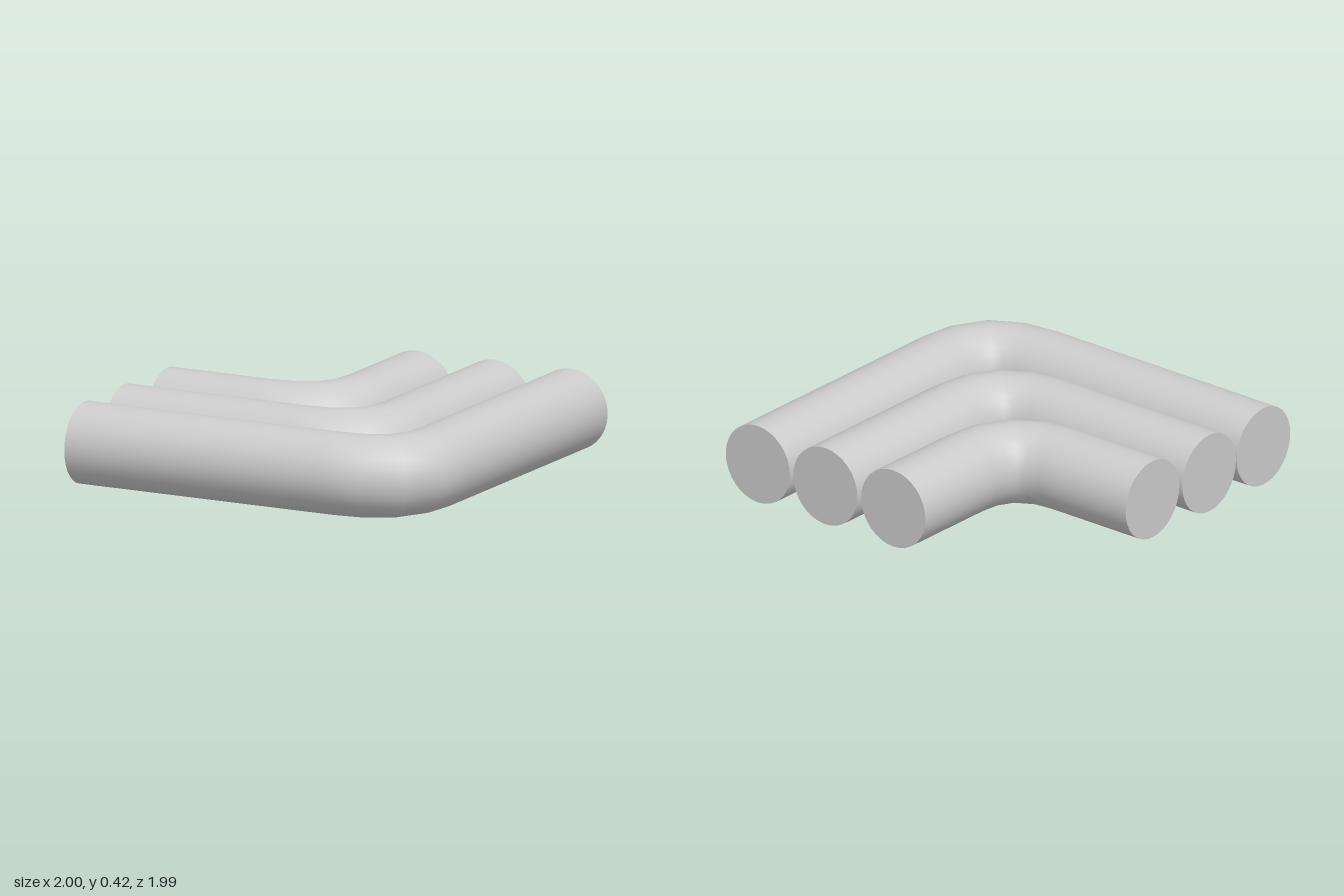
import * as THREE from 'three';

const R = 0.208;     // pipe radius
const BEND = 0.355;  // distance from the corner at which the bend starts

// Capped elbow pipe: one leg runs to xEnd (left), the other to zEnd (back),
// with the two axes meeting at (cx, cz).
function elbowPipe(cx, cz, xEnd, zEnd) {
  const bend = new THREE.QuadraticBezierCurve3(
    new THREE.Vector3(cx - BEND, R, cz),
    new THREE.Vector3(cx, R, cz),
    new THREE.Vector3(cx, R, cz - BEND)
  );

  // One frame per ring: leg end, five rings around the bend, leg end
  const up = new THREE.Vector3(0, 1, 0);
  const frame = (point, tangent) => new THREE.Matrix4()
    .makeBasis(new THREE.Vector3().crossVectors(tangent, up), tangent, up)
    .setPosition(point);
  const frames = [frame(new THREE.Vector3(xEnd, R, cz), new THREE.Vector3(1, 0, 0))];
  for (let i = 0; i <= 4; i++) frames.push(frame(bend.getPointAt(i / 4), bend.getTangentAt(i / 4)));
  frames.push(frame(new THREE.Vector3(cx, R, zEnd), new THREE.Vector3(0, 0, -1)));

  // Bend a straight capped cylinder by carrying each ring into its frame
  const segments = frames.length - 1;
  const geometry = new THREE.CylinderGeometry(R, R, 1, 32, segments);
  const { position, normal } = geometry.attributes;
  const v = new THREE.Vector3();
  for (let i = 0; i < position.count; i++) {
    v.fromBufferAttribute(position, i);
    const m = frames[Math.round((v.y + 0.5) * segments)];
    v.setY(0).applyMatrix4(m);
    position.setXYZ(i, v.x, v.y, v.z);
    v.fromBufferAttribute(normal, i).transformDirection(m);
    normal.setXYZ(i, v.x, v.y, v.z);
  }
  return geometry;
}

export function createModel() {
  const group = new THREE.Group();
  group.name = 'elbowPipes';
  const material = new THREE.MeshStandardMaterial({ color: 0xcccccc });

  // Three nested elbows lying side by side
  const pipes = [
    ['outerPipe', 0.792, 0.782, -0.998, -0.996],
    ['middlePipe', 0.364, 0.359, -1, -0.985],
    ['innerPipe', -0.068, -0.063, -0.985, -0.975],
  ];
  for (const [name, ...dims] of pipes) {
    const mesh = new THREE.Mesh(elbowPipe(...dims), material);
    mesh.name = name;
    group.add(mesh);
  }
  return group;
}
